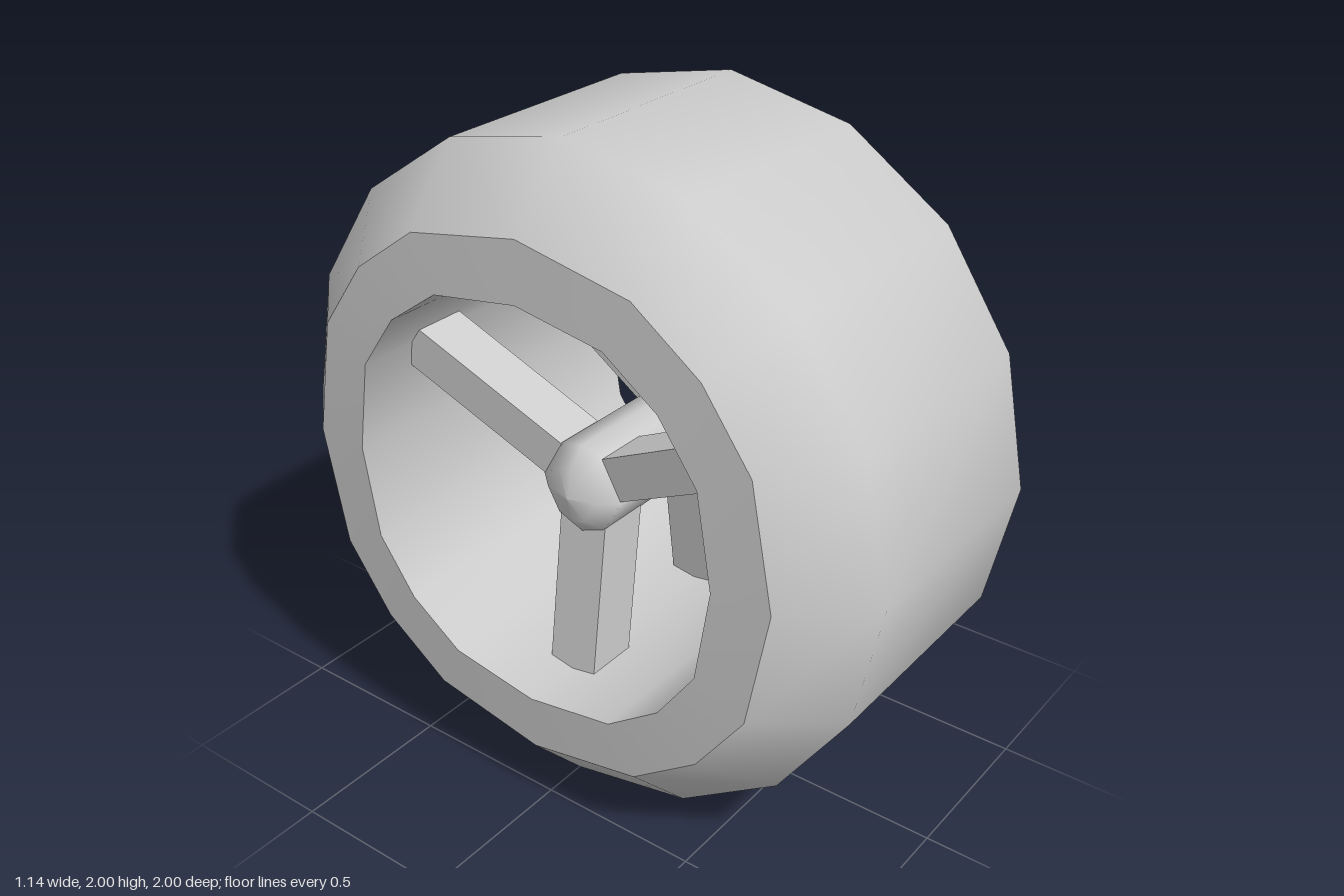
import * as THREE from 'three';

const RAD = Math.PI / 180;
const material = new THREE.MeshStandardMaterial({ color: 0xcccccc });

// Ring of points around the x axis, from [angle from up, radius] pairs
const ring = (x, points, cy = 1, scale = 1) => points.map(([a, r]) =>
  [x, cy + r * scale * Math.cos(a * RAD), r * scale * Math.sin(a * RAD)]);

// Full turn made of four equal quadrants
const quadrants = (quarter) => [0, 90, 180, 270].flatMap((q) => quarter.map(([a, r]) => [a + q, r]));

// Skin between consecutive rings, faces outward when the rings run toward +x
function loft(name, rings, flat = false) {
  const n = rings[0].length;
  const index = [];
  for (let j = 0; j < rings.length - 1; j++) {
    for (let i = 0; i < n; i++) {
      const a = j * n + i, b = j * n + (i + 1) % n;
      index.push(a, b, a + n, b, b + n, a + n);
    }
  }
  let geometry = new THREE.BufferGeometry();
  geometry.setAttribute('position', new THREE.Float32BufferAttribute(rings.flat(2), 3));
  geometry.setIndex(index);
  if (flat) geometry = geometry.toNonIndexed();
  geometry.computeVertexNormals();
  const mesh = new THREE.Mesh(geometry, material);
  mesh.name = name;
  return mesh;
}

// Tapered-forward spoke hanging from the hub centre
function spoke(width, length, angle) {
  const geometry = new THREE.BoxGeometry(0.165, length, width);
  geometry.translate(0, -length / 2, 0);
  const p = geometry.attributes.position;
  for (let i = 0; i < p.count; i++) {
    const t = -p.getY(i) / length;
    p.setX(i, p.getX(i) + 0.225 + 0.08 * t);
  }
  geometry.computeVertexNormals();
  const mesh = new THREE.Mesh(geometry, material);
  mesh.name = 'spoke';
  mesh.position.y = 0.975;
  mesh.rotation.x = angle * RAD;
  return mesh;
}

export function createModel() {
  const group = new THREE.Group();
  group.name = 'wheel';

  const outer = quadrants([[0, 1], [23, 1], [45, 1], [67, 1]]);
  const shoulder = quadrants([[0, 0.79], [26.6, 0.807], [45, 0.807], [63.4, 0.807]]);
  const inner = quadrants([[0, 0.615], [26.3, 0.635], [45, 0.636], [63.7, 0.635]]);

  // Tyre tread with bevelled shoulders
  group.add(loft('tread', [
    ring(-0.56, shoulder), ring(-0.365, outer), ring(0.365, outer), ring(0.56, shoulder),
  ]));

  // Flat side walls and the barrel inside
  group.add(loft('leftRim', [ring(0.56, shoulder), ring(0.57, inner)]));
  group.add(loft('rightRim', [ring(-0.57, inner), ring(-0.56, shoulder)]));
  group.add(loft('barrel', [ring(0.57, inner), ring(-0.57, inner)]));

  // Hub axle with a domed cap at each end
  const hub = [[0, 0.14], [30, 0.144], [88, 0.14], [145, 0.132],
    [180, 0.14], [215, 0.132], [272, 0.14], [330, 0.144]];
  const stations = [[-0.39, 0.001], [-0.37, 0.6], [-0.32, 1], [0.32, 1], [0.37, 0.6], [0.39, 0.001]];
  group.add(loft('hub', stations.map(([x, s]) => ring(x, hub, 0.965, s))));

  // Three spokes on each side
  for (const turn of [0, Math.PI]) {
    const spokes = new THREE.Group();
    spokes.name = turn ? 'rightSpokes' : 'leftSpokes';
    spokes.add(spoke(0.16, 0.6, 0), spoke(0.13, 0.655, 117.5), spoke(0.13, 0.655, -117.5));
    spokes.rotation.y = turn;
    group.add(spokes);
  }
  return group;
}
